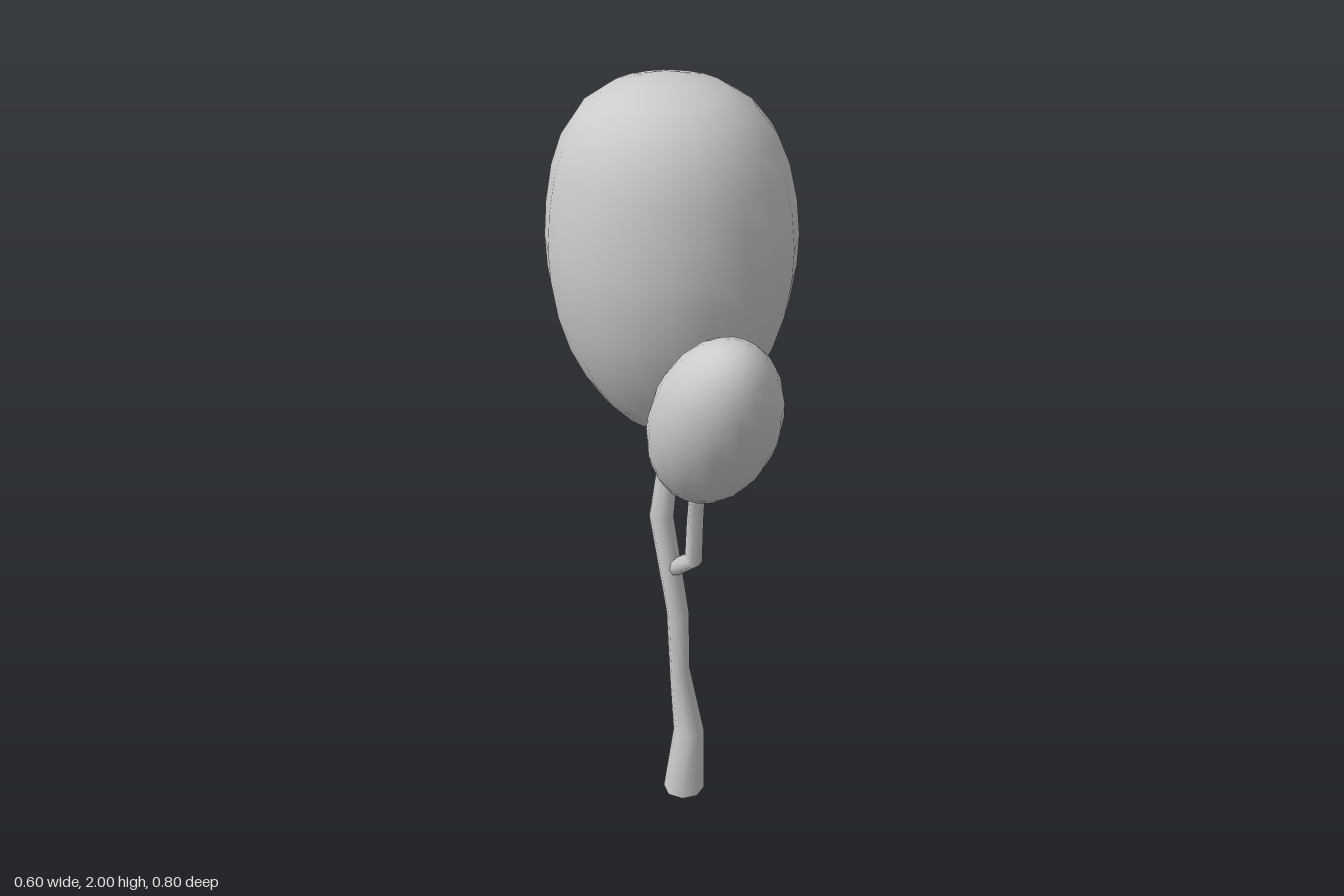
import * as THREE from 'three';
import { mergeVertices } from 'three/addons/utils/BufferGeometryUtils.js';

const material = new THREE.MeshStandardMaterial({ color: 0xcccccc });

function addMesh(group, name, geometry) {
  const mesh = new THREE.Mesh(geometry, material);
  mesh.name = name;
  group.add(mesh);
  return mesh;
}

// Tapering crooked limb: each point is [x, y, z, radius]; both ends are capped
function limb(points, sides, flatBase) {
  const centres = points.map(([x, y, z]) => new THREE.Vector3(x, y, z));
  const last = points.length - 1;
  const positions = [];
  const index = [];
  const up = new THREE.Vector3(0, 1, 0);
  points.forEach((p, i) => {
    const tangent = new THREE.Vector3();
    if (i > 0) tangent.add(centres[i].clone().sub(centres[i - 1]).normalize());
    if (i < last) tangent.add(centres[i + 1].clone().sub(centres[i]).normalize());
    if (i === 0 && flatBase) tangent.copy(up);
    const turn = new THREE.Quaternion().setFromUnitVectors(up, tangent.normalize());
    for (let s = 0; s < sides; s++) {
      const a = ((s + 0.5) / sides) * Math.PI * 2;
      const v = new THREE.Vector3(Math.sin(a), 0, Math.cos(a)).multiplyScalar(p[3]);
      positions.push(...v.applyQuaternion(turn).add(centres[i]).toArray());
      if (i < last) {
        const b = i * sides + s;
        const c = i * sides + ((s + 1) % sides);
        index.push(b, c, c + sides, b, c + sides, b + sides);
      }
    }
  });
  // Cap rings are copied so that the ends stay sharp
  for (const ring of [0, last]) {
    const start = positions.length / 3;
    positions.push(...positions.slice(ring * sides * 3, (ring + 1) * sides * 3));
    for (let s = 1; s < sides - 1; s++) {
      if (ring === 0) index.push(start, start + s + 1, start + s);
      else index.push(start, start + s, start + s + 1);
    }
  }
  const geometry = new THREE.BufferGeometry();
  geometry.setAttribute('position', new THREE.Float32BufferAttribute(positions, 3));
  geometry.setIndex(index);
  geometry.computeVertexNormals();
  return geometry;
}

// Main crown: a blunt egg whose top leans slightly aside
function mainCrownGeometry() {
  const profile = [
    [0, 1.098], [0.06, 1.108], [0.115, 1.14], [0.17, 1.2], [0.212, 1.265], [0.25, 1.345],
    [0.277, 1.435], [0.292, 1.53], [0.296, 1.61], [0.289, 1.7], [0.272, 1.79],
    [0.245, 1.865], [0.2, 1.93], [0.14, 1.973], [0.07, 1.995], [0, 2],
  ].map(([r, y]) => new THREE.Vector2(r, y));
  const lathe = new THREE.LatheGeometry(profile, 20);
  lathe.deleteAttribute('uv');
  lathe.deleteAttribute('normal');
  const geometry = mergeVertices(lathe, 1e-4);
  const pos = geometry.attributes.position;
  for (let i = 0; i < pos.count; i++) {
    const t = (pos.getY(i) - 1.6) / 0.45;
    const top = Math.max(t, 0) ** 2;
    const bottom = Math.max(-t, 0) ** 2;
    pos.setX(i, pos.getX(i) * 1.015 - 0.025 * top);
    pos.setZ(i, pos.getZ(i) * 0.985 - 0.112 + 0.025 * top - 0.015 * bottom);
  }
  geometry.computeVertexNormals();
  return geometry;
}

export function createModel() {
  const tree = new THREE.Group();
  tree.name = 'tree';

  addMesh(tree, 'trunk', limb([
    [0.01, 0, -0.055, 0.055],
    [0.02, 0.2, -0.044, 0.041],
    [0.002, 0.39, -0.067, 0.027],
    [-0.01, 0.585, -0.043, 0.029],
    [-0.04, 0.86, -0.083, 0.031],
    [-0.015, 1.08, -0.076, 0.025],
    [-0.01, 1.2, -0.08, 0.02],
  ], 8, true));

  addMesh(tree, 'branch', limb([
    [-0.018, 0.715, -0.055, 0.022],
    [0.012, 0.783, 0.02, 0.023],
    [0.015, 0.9, 0.022, 0.021],
    [0, 1.05, 0.09, 0.019],
    [0, 1.14, 0.135, 0.016],
  ], 8, false));

  addMesh(tree, 'mainCrown', mainCrownGeometry());

  // Small crown: an egg tilted towards the front
  const small = addMesh(tree, 'smallCrown', new THREE.SphereGeometry(1, 20, 16));
  small.scale.set(0.156, 0.279, 0.146);
  small.rotation.x = THREE.MathUtils.degToRad(30);
  small.position.set(0, 1.278, 0.213);

  return tree;
}
